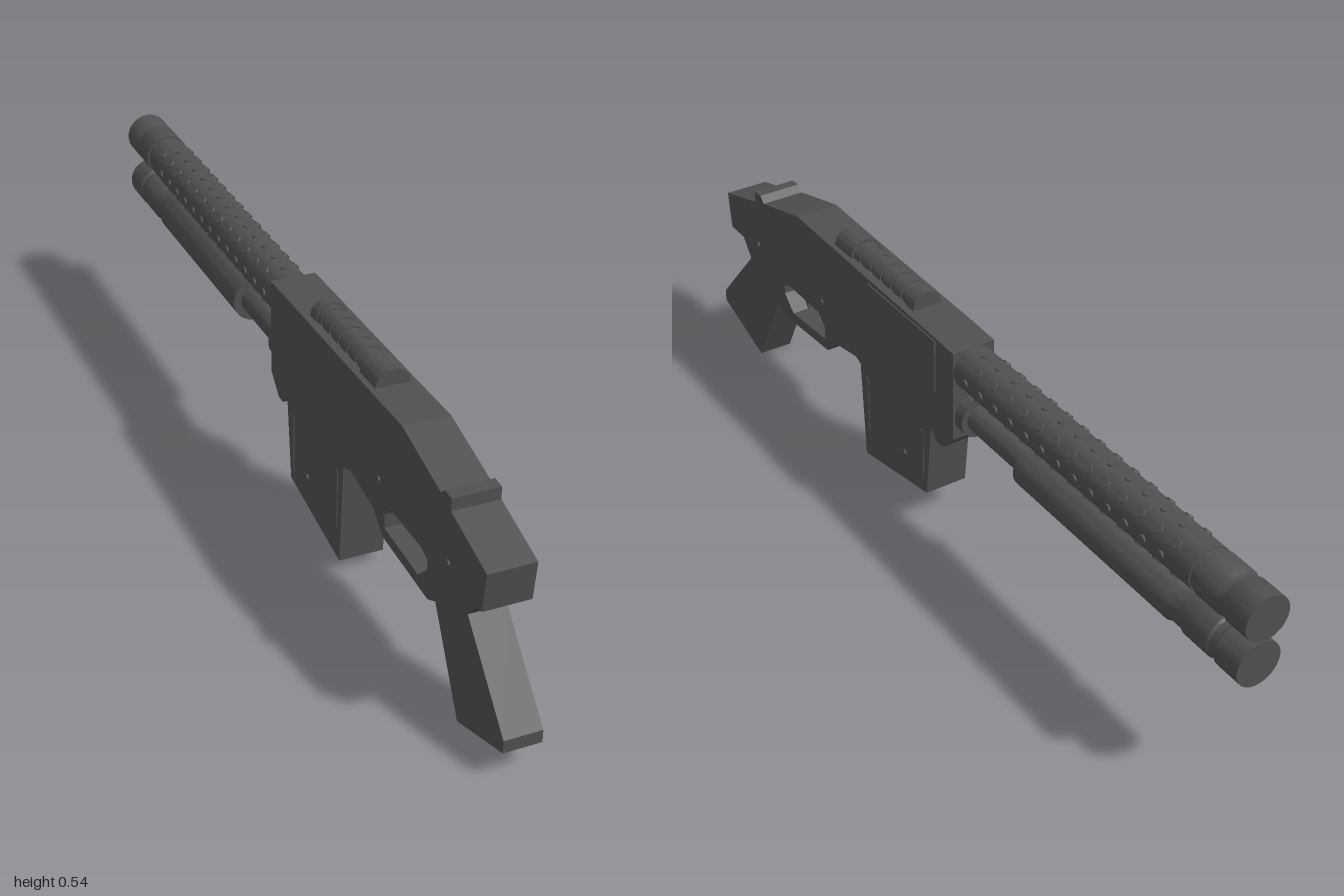
import * as THREE from 'three';
import { toCreasedNormals } from 'three/addons/utils/BufferGeometryUtils.js';

const material = new THREE.MeshStandardMaterial({ color: 0x505050 });

export function createModel() {
  const model = new THREE.Group();

  const add = (name, geometry, x = 0, y = 0, z = 0, parent = model) => {
    const mesh = new THREE.Mesh(geometry, material);
    mesh.name = name;
    mesh.position.set(x, y, z);
    parent.add(mesh);
    return mesh;
  };

  // Side profile given as [z, y] points, extruded evenly across x
  const plate = (name, points, halfWidth, hole) => {
    const toVectors = (list) => list.map(([z, y]) => new THREE.Vector2(z, y));
    const shape = new THREE.Shape(toVectors(points));
    if (hole) shape.holes.push(new THREE.Path(toVectors(hole)));
    const geometry = new THREE.ExtrudeGeometry(shape, { depth: halfWidth * 2, bevelEnabled: false });
    geometry.translate(0, 0, -halfWidth).rotateY(-Math.PI / 2);
    return add(name, geometry);
  };

  // Turned part along -z, from [distance, radius] points
  const turned = (name, profile, y, start = 0, sweep = Math.PI * 2) => {
    const points = profile.map(([d, r]) => new THREE.Vector2(r, d));
    const geometry = new THREE.LatheGeometry(points, 36, start, sweep).rotateX(-Math.PI / 2);
    return add(name, toCreasedNormals(geometry, 0.6), 0, y, 0);
  };

  // Receiver with the raised rear sight and the front block
  plate('receiver', [
    [0.925, 0.405], [0.914, 0.318], [0.73, 0.318], [0.445, 0.31], [0.314, 0.262],
    [0.02, 0.26], [-0.003, 0.24], [-0.026, 0.24], [-0.067, 0.283], [-0.067, 0.498],
    [0, 0.5], [0.43, 0.505], [0.576, 0.508], [0.74, 0.463], [0.755, 0.477], [0.782, 0.475], [0.782, 0.448],
  ], 0.05);

  // Magazine
  plate('magazine', [
    [0.314, 0.27], [0.298, 0.025], [0.04, 0.075], [0.02, 0.27],
  ], 0.0495);

  // Grip
  plate('grip', [
    [0.887, 0.32], [0.844, 0.262], [1, 0.09], [1, 0.062], [0.823, 0], [0.716, 0.203], [0.7, 0.32],
  ], 0.04);

  // Trigger guard with its opening
  plate('triggerGuard', [
    [0.74, 0.32], [0.716, 0.203], [0.684, 0.186], [0.48, 0.2], [0.437, 0.24], [0.314, 0.262], [0.33, 0.32],
  ], 0.04, [
    [0.678, 0.273], [0.646, 0.283], [0.517, 0.283], [0.49, 0.257], [0.49, 0.225], [0.64, 0.214], [0.678, 0.25],
  ]);
  plate('trigger', [
    [0.66, 0.288], [0.645, 0.262], [0.618, 0.228], [0.621, 0.256], [0.605, 0.288],
  ], 0.012);

  // Side cover on the left, thin ribs on the magazine, pins on both sides
  add('sideCover', new THREE.BoxGeometry(0.006, 0.125, 0.27), 0.05, 0.43, 0.135);
  for (const side of [-1, 1]) {
    for (const z of [0.283, 0.055]) {
      add('magazineRib', new THREE.BoxGeometry(0.003, 0.135, 0.008), side * 0.05, 0.17, z);
    }
    for (const [z, y] of [[0.78, 0.335], [0.48, 0.335], [0.13, 0.13]]) {
      const pin = new THREE.CylinderGeometry(0.007, 0.007, 0.006, 10).rotateZ(Math.PI / 2);
      add('pin', pin, side * 0.05, y, z);
    }
  }

  // Half-round top sight with a grooved middle
  const sight = [[-0.43, 0], [-0.43, 0.038], [-0.36, 0.038], [-0.36, 0.032]];
  for (let i = 0; i < 5; i++) {
    const d = -0.335 + i * 0.042;
    sight.push([d, 0.032], [d, 0.029], [d + 0.012, 0.029], [d + 0.012, 0.032]);
  }
  sight.push([-0.137, 0.032], [-0.137, 0.035], [-0.11, 0.035], [-0.11, 0]);
  turned('topSight', sight, 0.502);

  // Barrel with a stepped muzzle
  turned('barrel', [
    [0.05, 0], [0.05, 0.049], [0.84, 0.049], [0.84, 0.046], [0.855, 0.046], [0.855, 0.05],
    [0.915, 0.05], [0.92, 0.047], [0.935, 0.047], [0.94, 0.05], [1, 0.05], [1, 0],
  ], 0.45);

  // Rows of raised studs around the barrel
  const studs = new THREE.Group();
  studs.name = 'barrelStuds';
  model.add(studs);
  const studGeometry = new THREE.CylinderGeometry(0.009, 0.011, 0.008, 10);
  for (let row = 0; row < 8; row++) {
    const angle = (row * Math.PI) / 4;
    for (let i = 0; i < 13; i++) {
      const z = -0.11 - i * 0.054 - (row % 2) * 0.027;
      const stud = add('stud', studGeometry, Math.sin(angle) * 0.048, 0.45 + Math.cos(angle) * 0.048, z, studs);
      stud.rotation.z = -angle;
    }
  }

  // Lower tube with its collar, and the sliding handle
  turned('lowerTube', [
    [0.05, 0], [0.05, 0.046], [0.094, 0.046], [0.094, 0.032], [0.3, 0.032], [0.3, 0],
  ], 0.337);
  turned('slideHandle', [
    [0.287, 0], [0.287, 0.05], [0.775, 0.05], [0.785, 0.045], [0.82, 0.045], [0.83, 0.049],
    [0.9, 0.049], [0.905, 0.045], [0.92, 0.045], [0.925, 0.05], [0.99, 0.05], [0.99, 0],
  ], 0.337);

  return model;
}
